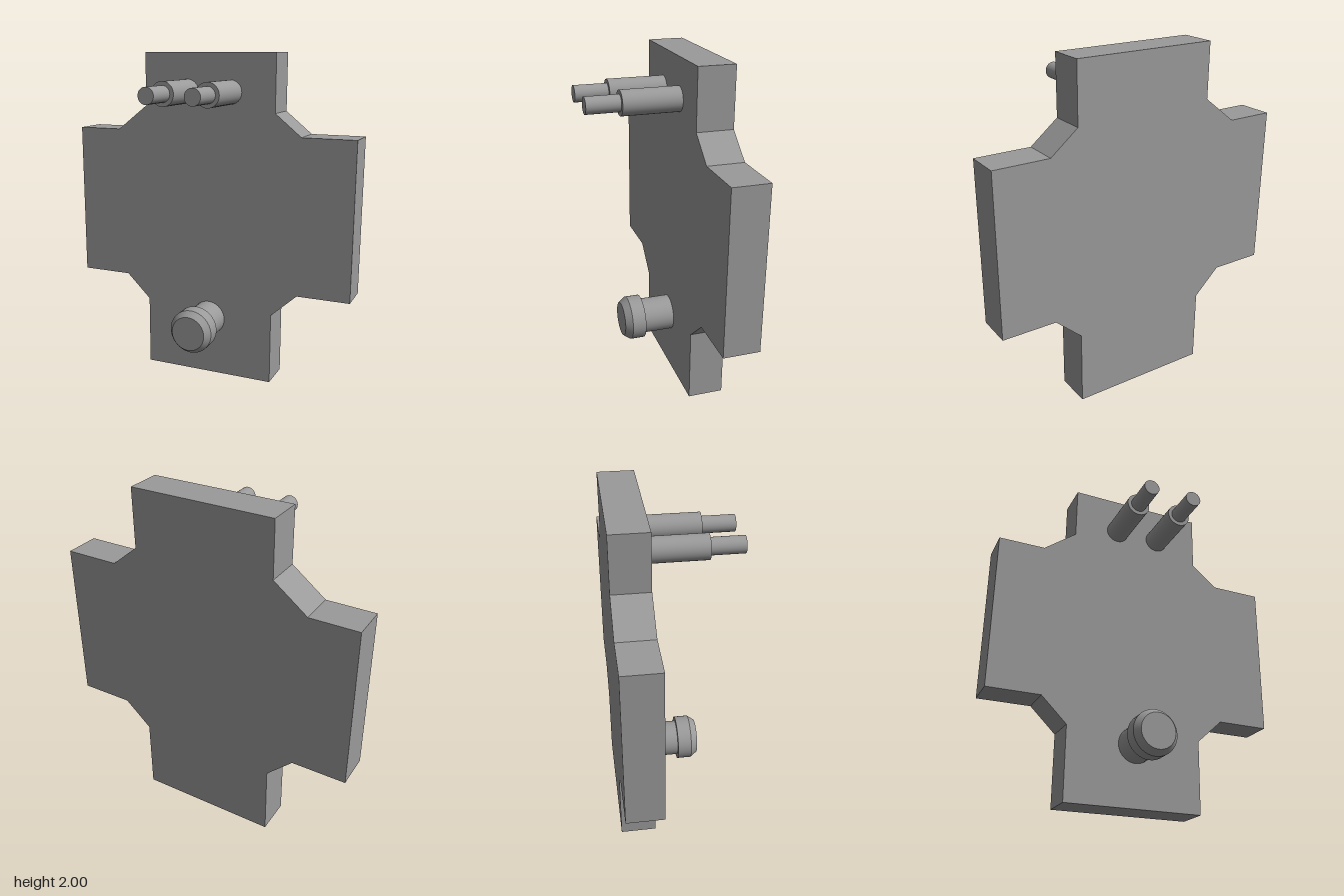
import * as THREE from 'three';

const material = new THREE.MeshStandardMaterial({ color: 0x9a9a9a });

// Round section along z, from z0 to z1, with radii r0 and r1
function section(name, z0, z1, r0, r1 = r0) {
  const geometry = new THREE.CylinderGeometry(r1, r0, z1 - z0, 40);
  geometry.rotateX(Math.PI / 2).translate(0, 0, (z0 + z1) / 2);
  const mesh = new THREE.Mesh(geometry, material);
  mesh.name = name;
  return mesh;
}

export function createModel() {
  const model = new THREE.Group();
  model.name = 'plateWithPins';

  // Cross-shaped plate with chamfered inner corners; its front face lies at z = 0
  const thickness = 0.21;
  const outline = [
    [-0.425, 0], [0.408, 0], [0.408, 0.438], [0.567, 0.583],
    [0.886, 0.583], [0.886, 1.528], [0.567, 1.528], [0.408, 1.658],
    [0.408, 2], [-0.425, 2], [-0.425, 1.68], [-0.62, 1.528],
    [-0.898, 1.528], [-0.898, 0.583], [-0.58, 0.583], [-0.425, 0.433],
  ];
  const shape = new THREE.Shape(outline.map(([x, y]) => new THREE.Vector2(x, y)));
  const plateGeometry = new THREE.ExtrudeGeometry(shape, { depth: thickness, bevelEnabled: false });
  plateGeometry.translate(0, 0, -thickness);
  const plate = new THREE.Mesh(plateGeometry, material);
  plate.name = 'plate';
  model.add(plate);

  // Pair of stepped pins near the top
  for (const [name, x] of [['leftPin', 0.131], ['rightPin', -0.143]]) {
    const pin = new THREE.Group();
    pin.name = name;
    pin.position.set(x, 1.772, 0);
    pin.add(section('pinSleeve', -0.02, 0.335, 0.071), section('pinTip', 0.335, 0.528, 0.048));
    model.add(pin);
  }

  // Knob near the bottom: shaft, wider head and chamfered end
  const knob = new THREE.Group();
  knob.name = 'knob';
  knob.position.set(-0.004, 0.364, 0);
  knob.add(
    section('knobShaft', -0.02, 0.185, 0.107),
    section('knobHead', 0.185, 0.268, 0.133),
    section('knobChamfer', 0.268, 0.309, 0.133, 0.104),
  );
  model.add(knob);

  // The whole piece is turned slightly about the vertical axis
  model.rotation.y = -0.059;
  model.position.z = -0.138;

  const root = new THREE.Group();
  root.name = 'model';
  root.add(model);
  return root;
}
